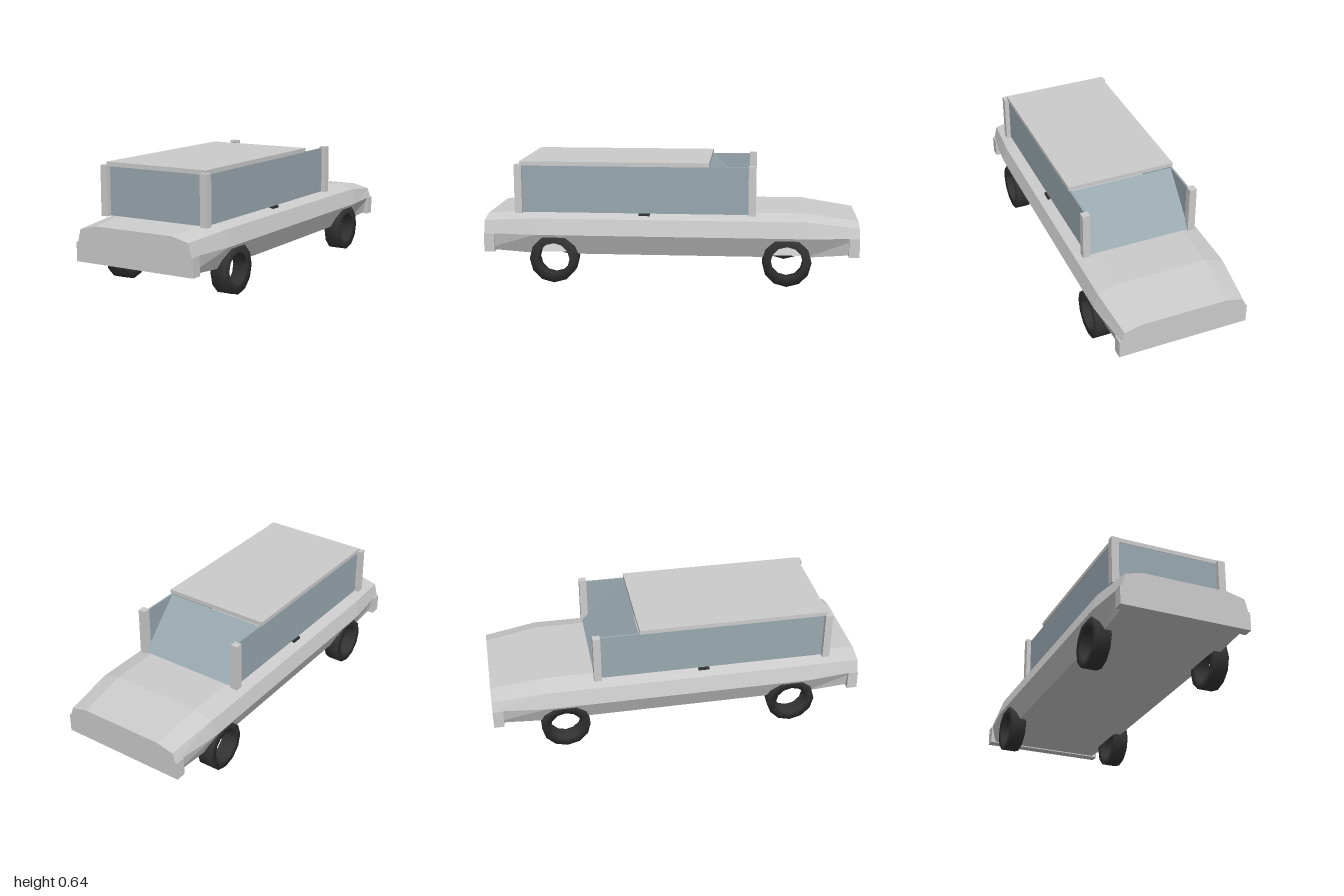
import * as THREE from 'three';

const paint = new THREE.MeshStandardMaterial({ color: 0xcccccc, flatShading: true, side: THREE.DoubleSide });
const glass = new THREE.MeshStandardMaterial({ color: 0x99a8b0, side: THREE.DoubleSide });
const rubber = new THREE.MeshStandardMaterial({ color: 0x333333, side: THREE.DoubleSide });
const underside = new THREE.MeshStandardMaterial({ color: 0xcccccc, flatShading: true, side: THREE.DoubleSide });

const WHEEL_Z = 0.62, WHEEL_Y = 0.13, ARCH_R = 0.1;

function add(parent, name, geometry, material, x = 0, y = 0, z = 0) {
  const mesh = new THREE.Mesh(geometry, material);
  mesh.name = name;
  mesh.position.set(x, y, z);
  parent.add(mesh);
  return mesh;
}

// Box given by its lower and upper limits
function addBox(parent, name, material, [x0, x1], [y0, y1], [z0, z1]) {
  return add(parent, name, new THREE.BoxGeometry(x1 - x0, y1 - y0, z1 - z0), material,
    (x0 + x1) / 2, (y0 + y1) / 2, (z0 + z1) / 2);
}

// Flat-faced geometry from convex polygons
function polygons(faces) {
  const pos = [];
  for (const f of faces)
    for (let i = 1; i < f.length - 1; i++) pos.push(...f[0], ...f[i], ...f[i + 1]);
  const g = new THREE.BufferGeometry();
  g.setAttribute('position', new THREE.Float32BufferAttribute(pos, 3));
  g.computeVertexNormals();
  return g;
}

// Half sections [x, y]: floor edge, waist, shoulder, top edge
const MIDDLE = [[0.32, 0.15], [0.372, 0.26], [0.35, 0.345], [0.25, 0.375]];
const STATIONS = [
  { z: 1, half: [[0.32, 0.17], [0.34, 0.26], [0.323, 0.327], [0.23, 0.35]] },
  { z: 0.72, half: MIDDLE },
  { z: -0.72, half: MIDDLE },
  { z: -1, half: [[0.32, 0.17], [0.34, 0.26], [0.323, 0.31], [0.23, 0.333]] },
];

function bodyShell() {
  const rings = STATIONS.map(({ z, half }) => [
    ...half.map(([x, y]) => [x, y, z]),
    ...half.slice().reverse().map(([x, y]) => [-x, y, z]),
  ]);
  const faces = [rings[0], rings[3].slice().reverse()];
  for (let s = 0; s < 3; s++) {
    for (let i = 0; i < 8; i++) {
      // the middle lower sides and floor are cut out for the wheels
      if (s === 1 && (i === 0 || i === 6 || i === 7)) continue;
      const j = (i + 1) % 8;
      faces.push([rings[s][i], rings[s + 1][i], rings[s + 1][j], rings[s][j]]);
    }
  }
  return polygons(faces);
}

// Sloped lower side with two wheel arches, drawn in (z, y) and leaned in
function lowerSide(side) {
  const s = new THREE.Shape();
  s.moveTo(-0.72, 0.26);
  s.lineTo(-0.72, 0.15);
  const a0 = Math.asin((0.15 - WHEEL_Y) / ARCH_R);
  for (const z of [-WHEEL_Z, WHEEL_Z])
    for (let i = 0; i <= 10; i++) {
      const a = Math.PI - a0 - (i / 10) * (Math.PI - 2 * a0);
      s.lineTo(z + ARCH_R * Math.cos(a), WHEEL_Y + ARCH_R * Math.sin(a));
    }
  s.lineTo(0.72, 0.15);
  s.lineTo(0.72, 0.26);
  const g = new THREE.ShapeGeometry(s);
  const p = g.attributes.position;
  for (let i = 0; i < p.count; i++) {
    const z = p.getX(i), y = p.getY(i);
    p.setXYZ(i, side * (0.32 + (0.052 * (y - 0.15)) / 0.11), y, z);
  }
  if (side > 0) {
    const ix = g.index;
    for (let i = 0; i < ix.count; i += 3) {
      const a = ix.getX(i);
      ix.setX(i, ix.getX(i + 1));
      ix.setX(i + 1, a);
    }
  }
  g.computeVertexNormals();
  return g;
}

// Floor with rectangular notches at the wheels
function floorPanel() {
  const right = [[0.32, -0.72], [0.32, -0.718], [0.28, -0.718], [0.28, -0.522], [0.32, -0.522],
    [0.32, 0.522], [0.28, 0.522], [0.28, 0.718], [0.32, 0.718], [0.32, 0.72]];
  const left = right.slice().reverse().map(([x, z]) => [-x, z]);
  const s = new THREE.Shape([...right, ...left].map(([x, z]) => new THREE.Vector2(x, z)));
  return new THREE.ShapeGeometry(s).rotateX(Math.PI / 2);
}

// Open ring tyre with a see-through centre
function tyre() {
  const w = 0.041, profile = [[0.085, -w], [0.13, -w], [0.13, w], [0.085, w], [0.085, -w]];
  return new THREE.LatheGeometry(profile.map(([r, y]) => new THREE.Vector2(r, y)), 12)
    .rotateZ(Math.PI / 2);
}

export function createModel() {
  const car = new THREE.Group();
  car.name = 'car';

  // Body
  const body = new THREE.Group();
  body.name = 'body';
  car.add(body);
  add(body, 'bodyShell', bodyShell(), paint);
  add(body, 'floor', floorPanel(), underside, 0, 0.15, 0);
  addBox(body, 'frontBumper', paint, [-0.35, 0.35], [0.16, 0.26], [0.945, 1]);
  addBox(body, 'rearBumper', paint, [-0.35, 0.35], [0.16, 0.26], [-1, -0.945]);

  // Cabin
  const cabin = new THREE.Group();
  cabin.name = 'cabin';
  car.add(cabin);
  addBox(cabin, 'roof', paint, [-0.3, 0.3], [0.622, 0.645], [-0.205, 0.81]);
  addBox(cabin, 'uprightWindow', glass, [-0.28, 0.28], [0.37, 0.622], [0.8, 0.808]);
  add(cabin, 'slopedWindow', polygons([[
    [0.285, 0.375, -0.45], [-0.285, 0.375, -0.45], [-0.285, 0.622, -0.21], [0.285, 0.622, -0.21],
  ]]), glass);

  // Parts on both sides
  for (const side of [1, -1]) {
    const label = side > 0 ? 'left' : 'right';
    add(body, label + 'LowerSide', lowerSide(side), paint);
    addBox(cabin, label + 'Window', glass, [side * 0.29 - 0.005, side * 0.29 + 0.005], [0.37, 0.622], [-0.42, 0.8]);
    addBox(body, label + 'DoorHandle', rubber, [side * 0.295 - 0.012, side * 0.295 + 0.012], [0.358, 0.37], [0.11, 0.17]);
    for (const [end, z] of [['Front', 0.815], ['Rear', -0.435]]) {
      addBox(cabin, label + end + 'Post', paint,
        [side * 0.3 - 0.02, side * 0.3 + 0.02], [0.368, 0.63], [z - 0.02, z + 0.02]);
    }
    for (const z of [WHEEL_Z, -WHEEL_Z])
      add(car, label + (z > 0 ? 'Front' : 'Rear') + 'Tyre', tyre(), rubber, side * 0.324, WHEEL_Y, z);
  }
  return car;
}
